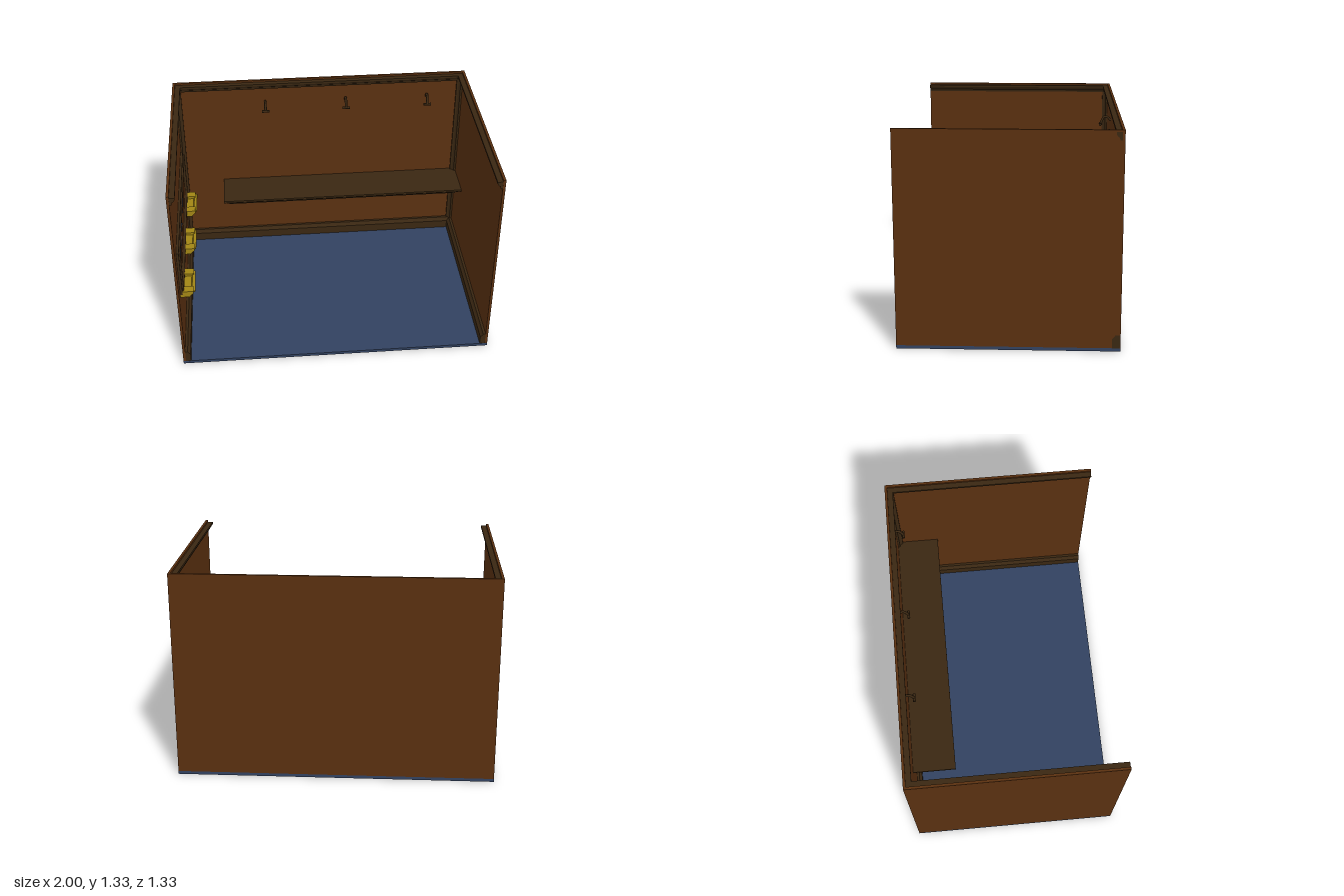
import * as THREE from 'three';

const mat = (name, color) => {
  const m = new THREE.MeshStandardMaterial({ color });
  m.name = name;
  return m;
};

export function createModel() {
  const wood = mat('brown panelling', 0x5a3010);
  const trim = mat('dark trim', 0x3a2712);
  const blue = mat('slate blue', 0x324260);
  const gold = mat('gold', 0xa18515);
  const room = new THREE.Group();
  room.name = 'openRoom';

  const W = 1, D = 0.667, H = 1.33, T = 0.016, FLOOR = 0.02;

  const add = (parent, name, geo, material, x = 0, y = 0, z = 0, ry = 0) => {
    const mesh = new THREE.Mesh(geo, material);
    mesh.name = name;
    mesh.position.set(x, y, z);
    mesh.rotation.y = ry;
    parent.add(mesh);
    return mesh;
  };
  // box given by its min and max corners
  const box = (parent, name, material, [x0, y0, z0], [x1, y1, z1]) =>
    add(parent, name, new THREE.BoxGeometry(x1 - x0, y1 - y0, z1 - z0), material,
      (x0 + x1) / 2, (y0 + y1) / 2, (z0 + z1) / 2);
  // closed [outward, up] profile swept along z, centred
  const sweep = (profile, length) => {
    const shape = new THREE.Shape(profile.map(p => new THREE.Vector2(...p)));
    return new THREE.ExtrudeGeometry(shape, { depth: length, bevelEnabled: false })
      .translate(0, 0, -length / 2);
  };

  // floor and three walls
  box(room, 'floor', blue, [-W, 0, -D], [W, FLOOR, D]);
  box(room, 'backWall', wood, [-W, FLOOR, -D], [W, H, -D + T]);
  for (const s of [-1, 1]) {
    add(room, s < 0 ? 'rightWall' : 'leftWall',
      new THREE.BoxGeometry(T, H - FLOOR, 2 * D - T), wood,
      s * (W - T / 2), (H + FLOOR) / 2, T / 2);
  }

  // skirting and cornice mouldings on every wall
  const skirting = [[-0.012, FLOOR], [0.034, FLOOR], [0.034, 0.078], [0.024, 0.088], [0.016, 0.1], [-0.012, 0.1]];
  const cornice = [[0, 1.27], [0.012, 1.27], [0.016, 1.285], [0.026, 1.292], [0.034, 1.305], [0.034, 1.318], [0, 1.318]];
  for (const [name, profile] of [['skirting', skirting], ['cornice', cornice]]) {
    const side = sweep(profile, 2 * D - T - 0.002);
    add(room, name + 'Right', side, trim, -W + T, 0, T / 2);
    add(room, name + 'Left', side, trim, W - T, 0, T / 2, Math.PI);
    // the back run reaches through to the outer face of the left wall
    add(room, name + 'Back', sweep(profile, 2 * W - T + 0.001), trim,
      T / 2 + 0.0005, 0, -D + T, -Math.PI / 2);
  }

  // stepped corner posts
  for (const s of [-1, 1]) {
    const post = new THREE.Group();
    post.name = 'cornerPost';
    const shape = new THREE.Shape([[0, 0], [0.036, 0], [0.036, 0.012], [0.024, 0.016], [0.016, 0.024], [0.012, 0.034], [0, 0.034]]
      .map(p => new THREE.Vector2(...p)));
    const geo = new THREE.ExtrudeGeometry(shape, { depth: 1.18, bevelEnabled: false });
    geo.rotateX(-Math.PI / 2);
    const mesh = add(post, 'cornerMoulding', geo, trim);
    // the profile lies in x and -z, so turn it into the matching corner
    mesh.rotation.y = s < 0 ? -Math.PI / 2 : Math.PI;
    post.position.set(s * (W - T), 0.095, -D + T);
    room.add(post);
  }

  // long stepped shelf on the back wall
  const shelf = new THREE.Group();
  shelf.name = 'shelf';
  [[0.485, 0.503, 0.035], [0.503, 0.519, 0.018], [0.519, 0.533, 0]].forEach(([y0, y1, inset], i) =>
    box(shelf, 'shelfLayer' + (i + 1), trim, [-0.7 + inset, y0, -D + T], [W - T - inset, y1, -0.37 - inset]));
  room.add(shelf);

  // coat hooks: curved stem with a cross bar
  const stem = new THREE.CatmullRomCurve3([
    [0, 1.155, -D + T], [0, 1.178, -0.63], [0, 1.18, -0.605], [0, 1.16, -0.592], [0, 1.13, -0.58],
  ].map(p => new THREE.Vector3(...p)));
  const stemGeo = new THREE.TubeGeometry(stem, 12, 0.009, 6);
  const barGeo = new THREE.CylinderGeometry(0.009, 0.009, 0.05, 6).rotateZ(Math.PI / 2);
  for (const x of [-0.38, 0.175, 0.74]) {
    const hook = new THREE.Group();
    hook.name = 'coatHook';
    add(hook, 'hookStem', stemGeo, trim);
    add(hook, 'hookBar', barGeo, trim, 0, 1.128, -0.578);
    hook.position.x = x;
    room.add(hook);
  }

  // framed landscape panel on the right wall, drawn in (-z, y)
  const panel = new THREE.Group();
  panel.name = 'landscapePanel';
  const rect = (Type, x0, y0, x1, y1) =>
    new Type([[x0, y0], [x1, y0], [x1, y1], [x0, y1]].map(p => new THREE.Vector2(...p)));
  const wallPlate = (name, shape, depth, material, x) =>
    add(panel, name, new THREE.ExtrudeGeometry(shape, { depth, bevelEnabled: false }),
      material, x, 0, 0, Math.PI / 2);
  const inner = -W + T;
  for (const [name, edge, depth] of [['outerFrame', 0, 0.016], ['innerFrame', 0.012, 0.026]]) {
    const frame = rect(THREE.Shape, -0.58 + edge, 0.51 + edge, 0.56 - edge, 0.84 - edge);
    frame.holes.push(rect(THREE.Path, -0.555, 0.535, 0.535, 0.815));
    wallPlate(name, frame, depth, trim, inner);
  }
  wallPlate('sky', rect(THREE.Shape, -0.56, 0.53, 0.54, 0.82), 0.004, blue, inner);
  const ridge = [[-0.555, 0.55], [-0.5, 0.565], [-0.45, 0.56], [-0.38, 0.6], [-0.3, 0.585], [-0.22, 0.605],
    [-0.14, 0.58], [-0.04, 0.6], [0.06, 0.585], [0.14, 0.615], [0.22, 0.6], [0.3, 0.585], [0.38, 0.61],
    [0.46, 0.625], [0.535, 0.645]];
  const hills = new THREE.Shape([[0.535, 0.535], ...ridge.slice().reverse(), [-0.555, 0.535]]
    .map(p => new THREE.Vector2(...p)));
  wallPlate('hills', hills, 0.004, wood, inner + 0.004);
  room.add(panel);

  // three gold wall holders with raised ends
  const tray = sweep([[0, 0.485], [0.065, 0.485], [0.068, 0.5], [0.08, 0.503], [0.085, 0.516], [0.095, 0.518],
    [0.095, 0.526], [0.075, 0.526], [0.07, 0.516], [0, 0.516]], 0.2);
  const end = sweep([[0, 0.49], [0.06, 0.49], [0.07, 0.506], [0.084, 0.515], [0.084, 0.534], [0, 0.534]], 0.055);
  for (const z of [-0.39, 0.03, 0.465]) {
    const holder = new THREE.Group();
    holder.name = 'wallHolder';
    add(holder, 'holderTray', tray, gold);
    for (const s of [-1, 1]) add(holder, 'holderEnd', end, gold, 0, 0, s * 0.0875);
    holder.position.set(inner, 0, z);
    room.add(holder);
  }

  return room;
}
